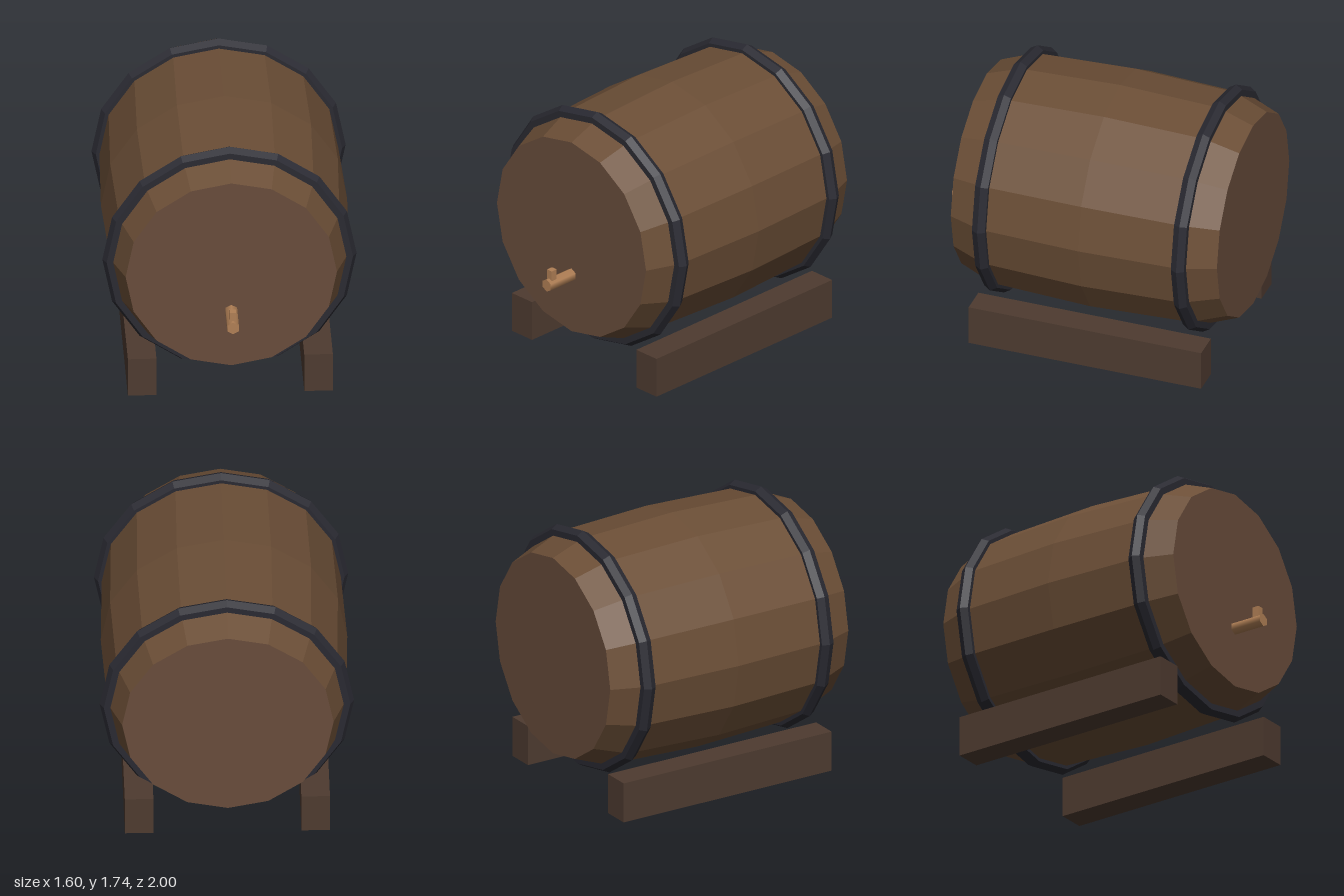
import * as THREE from 'three';

const SIDES = 16;
const AXIS_Y = 0.935;   // height of the barrel axis
const MID_Z = -0.11;    // middle of the barrel along z
const HALF = 0.89;      // half length of the barrel
const HOOP = 0.665;     // hoop distance from the middle
const END_R = 0.665;

const mat = (color, flatShading = true) => new THREE.MeshStandardMaterial({ color, flatShading });

export function createModel() {
  const model = new THREE.Group();
  model.name = 'barrelOnRails';

  const wood = mat(0x6b4e36);
  const headWood = mat(0x684c3b);
  const iron = mat(0x2a2a32);
  const railWood = mat(0x4e3b30);
  const brass = mat(0xb07f55);
  const brassSmooth = mat(0xb07f55, false);

  const add = (name, geometry, material, x, y, z) => {
    const mesh = new THREE.Mesh(geometry, material);
    mesh.name = name;
    mesh.position.set(x, y, z);
    model.add(mesh);
    return mesh;
  };

  // Bulging staves, turned around the z axis
  const profile = [[END_R, -HALF], [0.75, -HOOP], [0.775, 0], [0.75, HOOP], [END_R, HALF]]
    .map(([r, h]) => new THREE.Vector2(r, h));
  add('staves', new THREE.LatheGeometry(profile, SIDES).rotateX(Math.PI / 2), wood, 0, AXIS_Y, MID_Z);

  // Flat head and iron hoop at each end
  for (const [end, s] of [['front', 1], ['back', -1]]) {
    const head = add(end + 'Head', new THREE.CircleGeometry(END_R, SIDES), headWood, 0, AXIS_Y, MID_Z + s * HALF);
    if (s < 0) head.rotation.y = Math.PI;
    add(end + 'Hoop', new THREE.TorusGeometry(0.75, 0.05, 6, SIDES), iron, 0, AXIS_Y, MID_Z + s * HOOP);
  }

  // Support rails
  for (const [side, s] of [['left', 1], ['right', -1]]) {
    add(side + 'Rail', new THREE.BoxGeometry(0.18, 0.266, 1.555), railWood, s * 0.555, 0.133, MID_Z);
  }

  // Tap: hexagonal spout with an upright handle
  add('tapSpout', new THREE.CylinderGeometry(0.042, 0.042, 0.24, 6).rotateX(Math.PI / 2), brassSmooth, 0, 0.67, 0.88);
  add('tapHandle', new THREE.BoxGeometry(0.042, 0.09, 0.044), brass, 0, 0.723, 0.954);

  return model;
}
